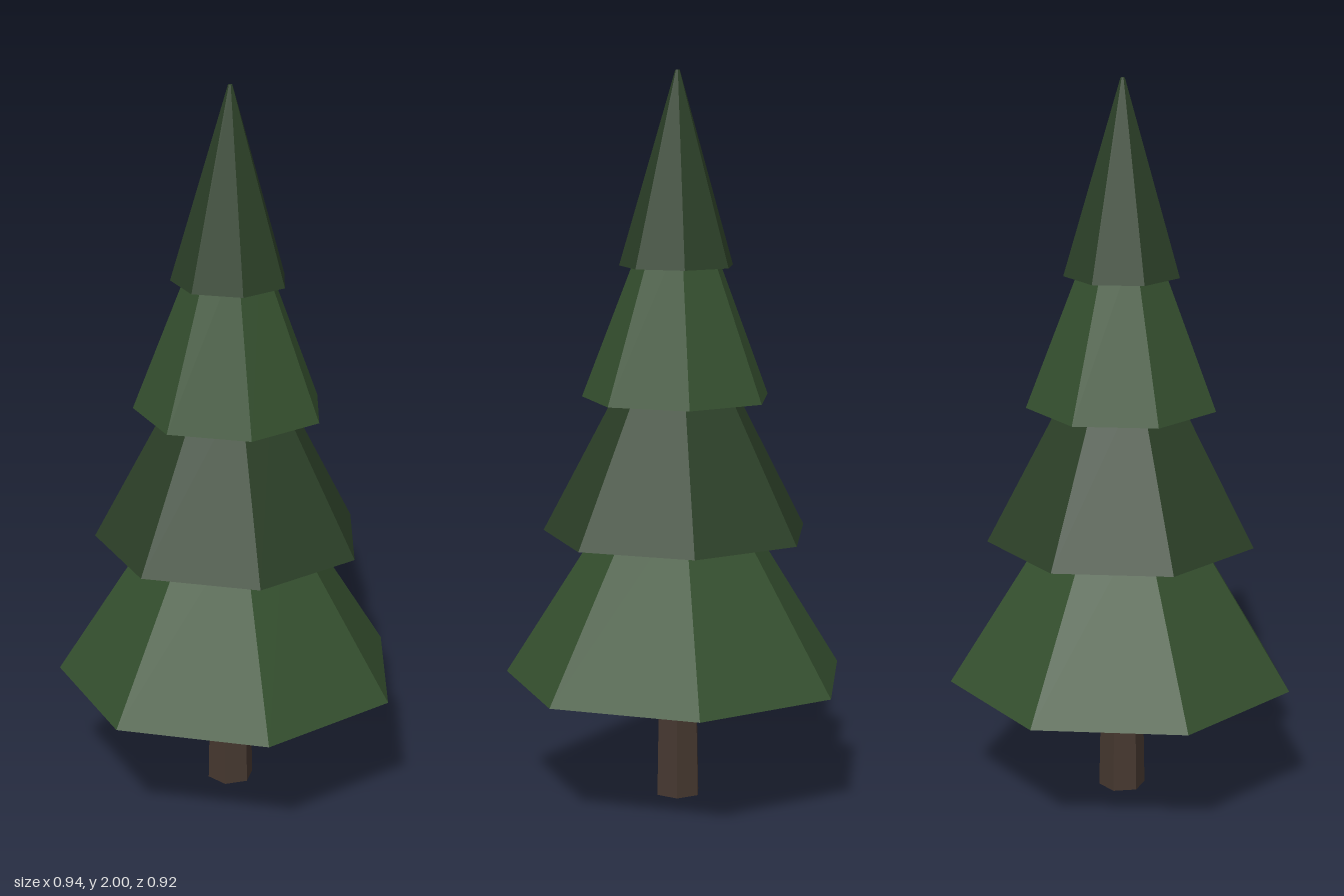
import * as THREE from 'three';

const CENTER_Z = 0.023;

// Flat-shaded tapered prism standing between two heights
function taper(name, color, sides, bottomY, topY, bottomR, topR) {
  const geometry = new THREE.CylinderGeometry(topR, bottomR, topY - bottomY, sides);
  const material = new THREE.MeshStandardMaterial({ color, flatShading: true });
  const mesh = new THREE.Mesh(geometry, material);
  mesh.name = name;
  mesh.position.set(0, (bottomY + topY) / 2, CENTER_Z);
  mesh.rotation.y = Math.PI; // one corner points to the back
  return mesh;
}

export function createModel() {
  const tree = new THREE.Group();
  tree.name = 'pineTree';

  // Six-sided trunk, ending just inside the lowest branches
  tree.add(taper('trunk', 0x463830, 6, 0, 0.42, 0.065, 0.057));

  // Seven-sided foliage tiers, lowest first: bottom y, top y, bottom radius, top radius
  const light = 0x35502f, dark = 0x2c4028;
  const tiers = [
    [0.335, 0.84, 0.482, 0.163],
    [0.74, 1.21, 0.374, 0.126],
    [1.115, 1.57, 0.264, 0.088],
    [1.475, 2.0, 0.16, 0.006],
  ];
  tiers.forEach((t, i) => {
    tree.add(taper(`foliageTier${i + 1}`, i % 2 ? dark : light, 7, ...t));
  });

  return tree;
}
